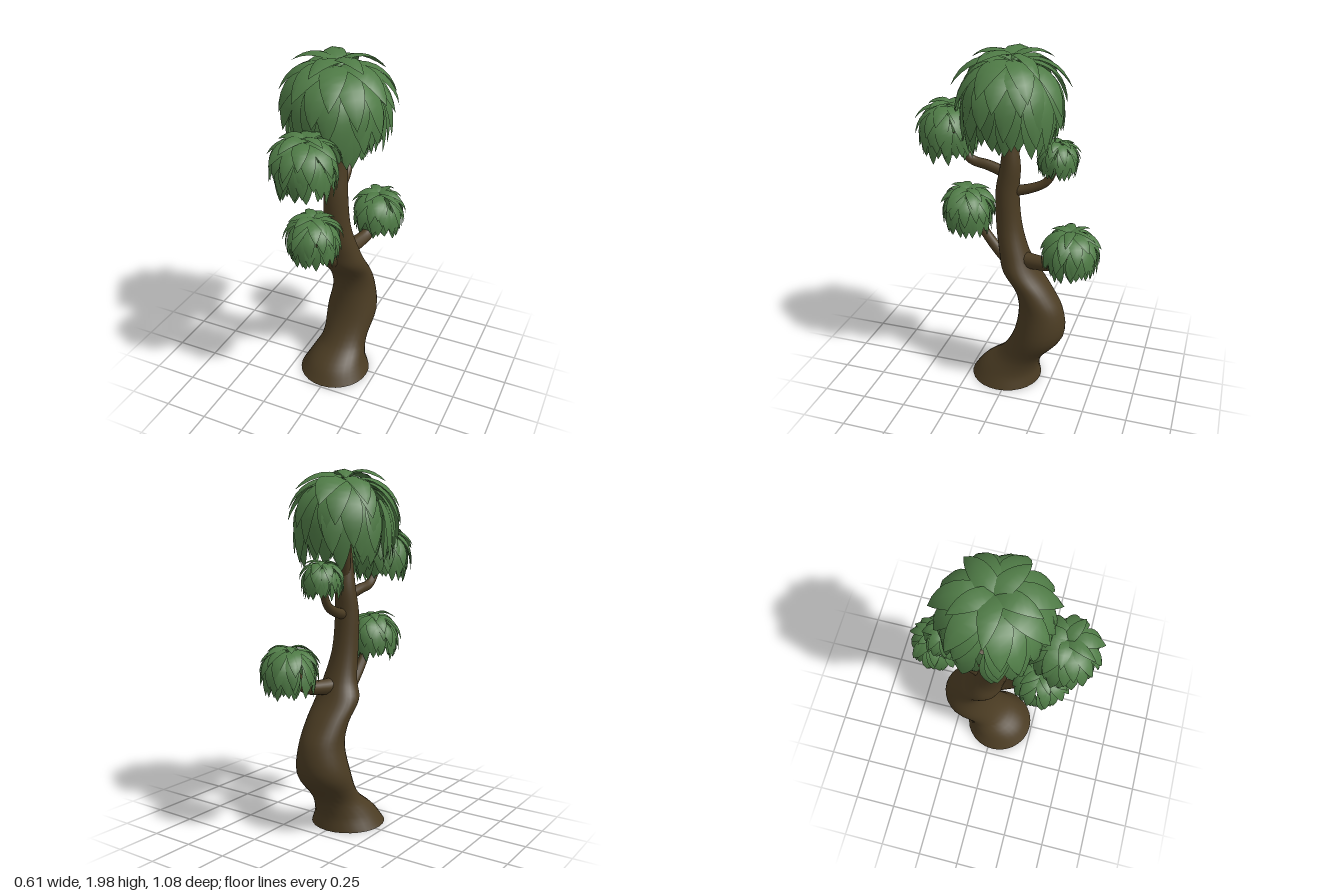
import * as THREE from 'three';

const bark = new THREE.MeshStandardMaterial({ color: 0x4b3c23 });
bark.name = 'bark brown';
const leafGreen = new THREE.MeshStandardMaterial({ color: 0x4f7b46, side: THREE.DoubleSide });
leafGreen.name = 'leaf green';

// Small seeded random source
function seeded(seed) {
  let s = seed;
  return () => (s = (s * 16807) % 2147483647) / 2147483647;
}

// Closed skin over rings of points, with a cap on each end
function skin(rings) {
  const n = rings[0].length;
  const pos = [], idx = [];
  rings.forEach(r => r.forEach(p => pos.push(p.x, p.y, p.z)));
  for (let i = 0; i < rings.length - 1; i++) {
    for (let j = 0; j < n; j++) {
      const a = i * n + j, b = i * n + (j + 1) % n;
      idx.push(a, b, a + n, b, b + n, a + n);
    }
  }
  [rings[0], rings[rings.length - 1]].forEach((ring, end) => {
    const start = pos.length / 3;
    ring.forEach(p => pos.push(p.x, p.y, p.z));
    for (let j = 1; j < n - 1; j++) {
      if (end) idx.push(start, start + j, start + j + 1);
      else idx.push(start, start + j + 1, start + j);
    }
  });
  const geo = new THREE.BufferGeometry();
  geo.setAttribute('position', new THREE.Float32BufferAttribute(pos, 3));
  geo.setIndex(idx);
  geo.computeVertexNormals();
  return geo;
}

// Trunk: level rings, each [y, x centre, z centre, x radius, z radius]
function makeTrunk() {
  const stations = [
    [0, -0.005, 0.03, 0.21, 0.21], [0.08, 0, 0.005, 0.17, 0.175], [0.18, 0.015, -0.07, 0.137, 0.13],
    [0.33, 0.02, -0.172, 0.152, 0.147], [0.5, 0.025, -0.185, 0.127, 0.128], [0.62, 0.02, -0.14, 0.125, 0.105],
    [0.74, 0.01, -0.055, 0.13, 0.1], [0.84, 0.015, -0.022, 0.1, 0.085], [1.0, 0.005, 0.013, 0.075, 0.073],
    [1.2, 0, 0.025, 0.068, 0.066], [1.35, 0, 0.008, 0.058, 0.056], [1.5, 0, 0.01, 0.042, 0.038],
    [1.75, 0, 0, 0.02, 0.02]
  ];
  const path = new THREE.CatmullRomCurve3(stations.map(s => new THREE.Vector3(s[1], s[0], s[2])));
  const size = new THREE.CatmullRomCurve3(stations.map(s => new THREE.Vector3(s[3], s[0], s[4])));
  const rings = [];
  for (let i = 0; i <= 48; i++) {
    const c = path.getPoint(i / 48), r = size.getPoint(i / 48), ring = [];
    for (let j = 0; j < 28; j++) {
      const a = j / 28 * Math.PI * 2;
      ring.push(new THREE.Vector3(c.x + Math.sin(a) * r.x, c.y, c.z + Math.cos(a) * r.z));
    }
    rings.push(ring);
  }
  return skin(rings);
}

// Branch: tapered round tube along a curve
function makeBranch(points, r0, r1) {
  const curve = new THREE.CatmullRomCurve3(points.map(p => new THREE.Vector3(...p)));
  const steps = 14, frames = curve.computeFrenetFrames(steps);
  const rings = [];
  for (let i = 0; i <= steps; i++) {
    const c = curve.getPointAt(i / steps), r = r0 + (r1 - r0) * i / steps, ring = [];
    for (let j = 0; j < 12; j++) {
      const a = j / 12 * Math.PI * 2;
      ring.push(c.clone().addScaledVector(frames.normals[i], Math.cos(a) * r)
        .addScaledVector(frames.binormals[i], Math.sin(a) * r));
    }
    rings.push(ring);
  }
  return skin(rings);
}

// Crown profile: half a sphere above, a slightly tucked-in skirt below
function domePoint(deg) {
  if (deg <= 90) {
    const a = THREE.MathUtils.degToRad(deg);
    return [Math.sin(a), Math.cos(a)];
  }
  const s = (deg - 90) / 60;
  return [1 - 0.15 * s * s, -0.92 * s];
}

// Leaf rows: [count, start angle, tip angle, base scale, tip scale, half width, arch]
const leafRows = [
  [5, -8, 50, 0.85, 1.2, 0.2, 0.08],
  [7, 6, 74, 0.85, 1.17, 0.25, 0.08],
  [9, 18, 92, 0.88, 1.13, 0.24, 0.06],
  [12, 38, 112, 0.9, 1.07, 0.22, 0.04],
  [14, 58, 130, 0.9, 1.02, 0.21, 0.03],
  [16, 78, 145, 0.89, 0.97, 0.19, 0.02],
  [12, 80, 148, 0.76, 0.8, 0.21, 0]
];

// Crown: overlapping pointed leaves that arch over the dome, keeled and slightly rolled
function makeCrown(radius, seed) {
  const rand = seeded(seed), pos = [], idx = [], steps = 8;
  leafRows.forEach(([count, from, to, s0, s1, halfWidth, arch], row) => {
    for (let k = 0; k < count; k++) {
      const turn = (k + 0.5 * (row % 2) + (rand() - 0.5) * 0.5) / count * Math.PI * 2;
      const tip = to + (rand() - 0.5) * 14, lift = s1 + (rand() - 0.5) * 0.12;
      const tilt = (rand() - 0.5) * 0.22, roll = 0.35 * (rand() - 0.3);
      const cos = Math.cos(turn), sin = Math.sin(turn), start = pos.length / 3;
      for (let i = 0; i <= steps; i++) {
        const t = i / steps;
        const [pr, py] = domePoint(from + (tip - from) * t);
        const scale = (s0 + (lift - s0) * t + arch * Math.sin(Math.PI * t)) * radius;
        const w = halfWidth * Math.pow(Math.max(0, Math.sin(Math.PI * (0.14 + 0.86 * t))), 0.85);
        for (const side of [-1, 0, 1]) {
          const dip = side ? 1 - (0.25 + side * roll) * w : 1;
          const out = pr * scale * dip, across = (side * w + tilt * t) * radius;
          pos.push(out * sin + across * cos, py * scale * dip, out * cos - across * sin);
        }
      }
      for (let i = 0; i < steps; i++) {
        for (let j = 0; j < 2; j++) {
          const a = start + i * 3 + j;
          idx.push(a, a + 3, a + 1, a + 1, a + 3, a + 4);
        }
      }
    }
  });
  const geo = new THREE.BufferGeometry();
  geo.setAttribute('position', new THREE.Float32BufferAttribute(pos, 3));
  geo.setIndex(idx);
  geo.computeVertexNormals();
  return geo;
}

export function createModel() {
  const tree = new THREE.Group();
  tree.name = 'tree';
  const add = (name, geo, mat, at = [0, 0, 0]) => {
    const mesh = new THREE.Mesh(geo, mat);
    mesh.name = name;
    mesh.position.set(...at);
    tree.add(mesh);
  };

  add('trunk', makeTrunk(), bark);

  // Branches
  add('frontLowerBranch', makeBranch([[-0.01, 0.74, 0], [-0.01, 0.81, 0.07], [-0.015, 0.92, 0.16], [-0.02, 1.08, 0.25]], 0.035, 0.022), bark);
  add('frontUpperBranch', makeBranch([[0, 1.3, 0.02], [-0.01, 1.335, 0.14], [-0.01, 1.36, 0.24], [-0.01, 1.5, 0.34]], 0.032, 0.022), bark);
  add('backUpperBranch', makeBranch([[0, 1.2, 0.01], [-0.01, 1.225, -0.1], [-0.02, 1.27, -0.19], [-0.03, 1.39, -0.25]], 0.032, 0.018), bark);
  add('backLowerBranch', makeBranch([[0.02, 0.81, -0.03], [0.05, 0.81, -0.15], [0.08, 0.83, -0.26], [0.1, 0.93, -0.35]], 0.05, 0.028), bark);
  add('topFork', makeBranch([[0, 1.38, 0], [-0.03, 1.5, -0.03], [-0.08, 1.7, -0.08]], 0.03, 0.015), bark);

  // Leaf crowns: name, centre, radius
  [
    ['topCrown', [0, 1.695, 0], 0.272],
    ['frontUpperCrown', [-0.01, 1.51, 0.36], 0.165],
    ['frontLowerCrown', [-0.02, 1.045, 0.265], 0.143],
    ['backUpperCrown', [-0.03, 1.4, -0.25], 0.106],
    ['backLowerCrown', [0.1, 0.915, -0.365], 0.146]
  ].forEach(([name, at, radius], i) => add(name, makeCrown(radius, 1234 + i * 977), leafGreen, at));

  return tree;
}
